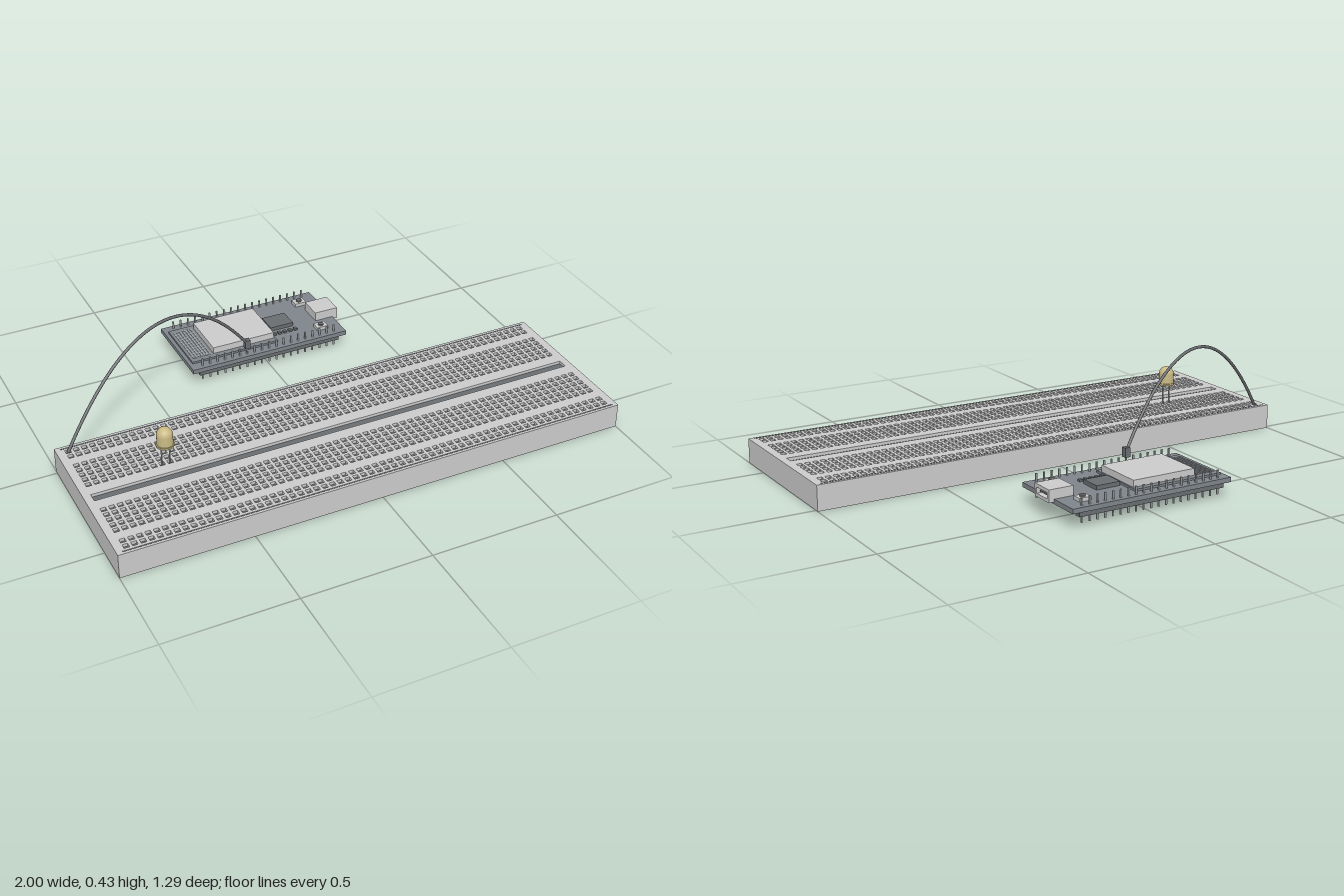
import * as THREE from 'three';
import { mergeGeometries } from 'three/addons/utils/BufferGeometryUtils.js';

const mat = (color) => new THREE.MeshStandardMaterial({ color });
const GREY = mat(0xcccccc), BOARD = mat(0x7f858b), DARK = mat(0x6a6d70), METAL = mat(0xb4b7bb), LENS = mat(0xcabb85);

const PITCH = 0.0309, BOARD_Z = 0.315, TOP = 0.098; // breadboard grid
const PCB_Z = -0.4725, PCB_TOP = 0.076, PIN = 0.032; // controller board

// Box geometry given by its limits on each axis
function box(x0, x1, y0, y1, z0, z1) {
  return new THREE.BoxGeometry(x1 - x0, y1 - y0, z1 - z0)
    .translate((x0 + x1) / 2, (y0 + y1) / 2, (z0 + z1) / 2);
}

function add(parent, name, geometry, material = GREY) {
  const mesh = new THREE.Mesh(geometry, material);
  mesh.name = name;
  parent.add(mesh);
  return mesh;
}

function rectPath(x, y, w, h) {
  return new THREE.Path([[-1, -1], [-1, 1], [1, 1], [1, -1]]
    .map(([a, b]) => new THREE.Vector2(x + a * w / 2, y + b * h / 2)));
}

function createBreadboard() {
  const g = new THREE.Group();
  g.name = 'breadboard';
  const floor = TOP - 0.012, half = 0.33;
  add(g, 'breadboardBase', box(-1, 1, 0, floor - 0.001, BOARD_Z - half, BOARD_Z + half));

  // Perforated top plate: five-row terminal blocks, two-row power rails, centre groove
  const plate = new THREE.Shape([[-1, -half], [1, -half], [1, half], [-1, half]]
    .map(([x, y]) => new THREE.Vector2(x, y)));
  const rows = [0, 1, 2, 3, 4].map((i) => 0.078 + i * 0.031).concat([0.263, 0.294]);
  for (const row of rows)
    for (const side of [-1, 1])
      for (let c = -31; c <= 31; c++) plate.holes.push(rectPath(c * PITCH, side * row, 0.02, 0.02));
  plate.holes.push(rectPath(0, 0, 1.94, 0.038));
  const top = new THREE.ExtrudeGeometry(plate, { depth: TOP - floor + 0.001, bevelEnabled: false });
  top.rotateX(-Math.PI / 2).translate(0, floor - 0.001, BOARD_Z);
  add(g, 'perforatedTop', top);
  add(g, 'socketFloor', box(-0.985, 0.985, floor - 0.004, floor, BOARD_Z - 0.31, BOARD_Z + 0.31), DARK);

  // Printed line along each power rail
  add(g, 'railLines', mergeGeometries([-1, 1].map((s) =>
    box(-0.98, 0.98, TOP - 0.001, TOP + 0.001, BOARD_Z + s * 0.317 - 0.003, BOARD_Z + s * 0.317 + 0.003))), DARK);
  return g;
}

function createController() {
  const g = new THREE.Group();
  g.name = 'controllerBoard';
  g.position.z = PCB_Z;
  const y = PCB_TOP;
  add(g, 'circuitBoard', box(-0.335, 0.335, 0.058, y, -0.171, 0.171), BOARD);

  // Header strips below with pins passing through
  const strips = [], pins = [];
  for (const s of [-1, 1]) {
    const z = s * 0.152;
    strips.push(box(-0.305, 0.305, 0.04, 0.058, z - 0.0135, z + 0.0135));
    for (let i = -9; i <= 9; i++)
      pins.push(box(i * PIN - 0.003, i * PIN + 0.003, 0.014, 0.107, z - 0.003, z + 0.003));
  }
  add(g, 'headerStrips', mergeGeometries(strips), DARK);
  add(g, 'headerPins', mergeGeometries(pins), METAL);

  // Radio module with metal shield and antenna traces
  add(g, 'moduleBase', box(-0.32, 0.05, y, y + 0.008, -0.127, 0.127), BOARD);
  add(g, 'moduleShield', box(-0.22, 0.043, y + 0.008, 0.11, -0.104, 0.104));
  const traces = [];
  for (let i = 0; i < 7; i++) {
    const x = -0.305 + i * 0.012;
    traces.push(box(x - 0.002, x + 0.002, y + 0.008, y + 0.01, -0.104, 0.104));
    const z = i % 2 ? -0.102 : 0.102;
    if (i < 6) traces.push(box(x, x + 0.012, y + 0.008, y + 0.01, z - 0.002, z + 0.002));
  }
  add(g, 'antenna', mergeGeometries(traces), METAL);

  // Chip and row of small components
  add(g, 'chip', box(0.059, 0.158, y, 0.092, -0.042, 0.042), DARK);
  add(g, 'smallComponents', mergeGeometries([0, 1, 2, 3, 4].map((i) =>
    box(0.053 + i * 0.0235, 0.067 + i * 0.0235, y, y + 0.008, 0.065, 0.079))), DARK);

  // Push buttons
  for (const s of [-1, 1]) {
    const z = s * 0.103;
    add(g, 'button', box(0.23, 0.278, y, 0.09, z - 0.019, z + 0.019));
    const cap = new THREE.CylinderGeometry(0.011, 0.011, 0.007, 16).translate(0.254, 0.0925, z);
    add(g, 'buttonCap', cap, DARK);
  }

  // Hollow socket opening towards +x
  const x0 = 0.257, x1 = 0.356;
  add(g, 'usbSocket', mergeGeometries([
    box(x0, x1, 0.1, 0.113, -0.048, 0.048),
    box(x0, x1, 0.065, 0.077, -0.048, 0.048),
    box(x0, x1, 0.077, 0.1, -0.048, -0.035),
    box(x0, x1, 0.077, 0.1, 0.035, 0.048),
    box(x0, x1 - 0.04, 0.077, 0.1, -0.035, 0.035),
  ]));
  add(g, 'usbTongue', box(x1 - 0.04, x1 - 0.008, 0.085, 0.091, -0.026, 0.026), DARK);
  return g;
}

function createLed() {
  const g = new THREE.Group();
  g.name = 'led';
  g.position.set(-21.5 * PITCH, 0, 0.237);
  // Flanged base, straight wall and round dome in one turned profile
  const profile = [[0, 0.176], [0.034, 0.176], [0.034, 0.176], [0.034, 0.183], [0.034, 0.183], [0.03, 0.183], [0.03, 0.183]]
    .map(([x, y]) => new THREE.Vector2(x, y));
  for (let i = 0; i <= 10; i++) {
    const a = i / 10 * Math.PI / 2;
    profile.push(new THREE.Vector2(0.03 * Math.cos(a), 0.221 + 0.03 * Math.sin(a)));
  }
  add(g, 'ledLens', new THREE.LatheGeometry(profile, 32), LENS);
  for (const s of [-1, 1])
    add(g, 'ledLeg', new THREE.CylinderGeometry(0.003, 0.003, 0.09, 8).translate(s * PITCH / 2, 0.132, 0), METAL);
  return g;
}

function createJumper() {
  const g = new THREE.Group();
  g.name = 'jumperWire';
  const end = new THREE.Vector3(-3 * PIN, 0.125, PCB_Z + 0.152);
  const start = new THREE.Vector3(-31 * PITCH, 0.095, BOARD_Z - 0.294);
  const peak = start.clone().lerp(end, 0.5).setY(0.745);
  const curve = new THREE.QuadraticBezierCurve3(start, peak, end);
  add(g, 'wire', new THREE.TubeGeometry(curve, 48, 0.006, 10), DARK);
  add(g, 'wireConnector', box(end.x - 0.011, end.x + 0.011, 0.105, 0.142, end.z - 0.011, end.z + 0.011), DARK);
  return g;
}

export function createModel() {
  const model = new THREE.Group();
  model.name = 'prototypingKit';
  model.add(createBreadboard(), createController(), createLed(), createJumper());
  return model;
}
